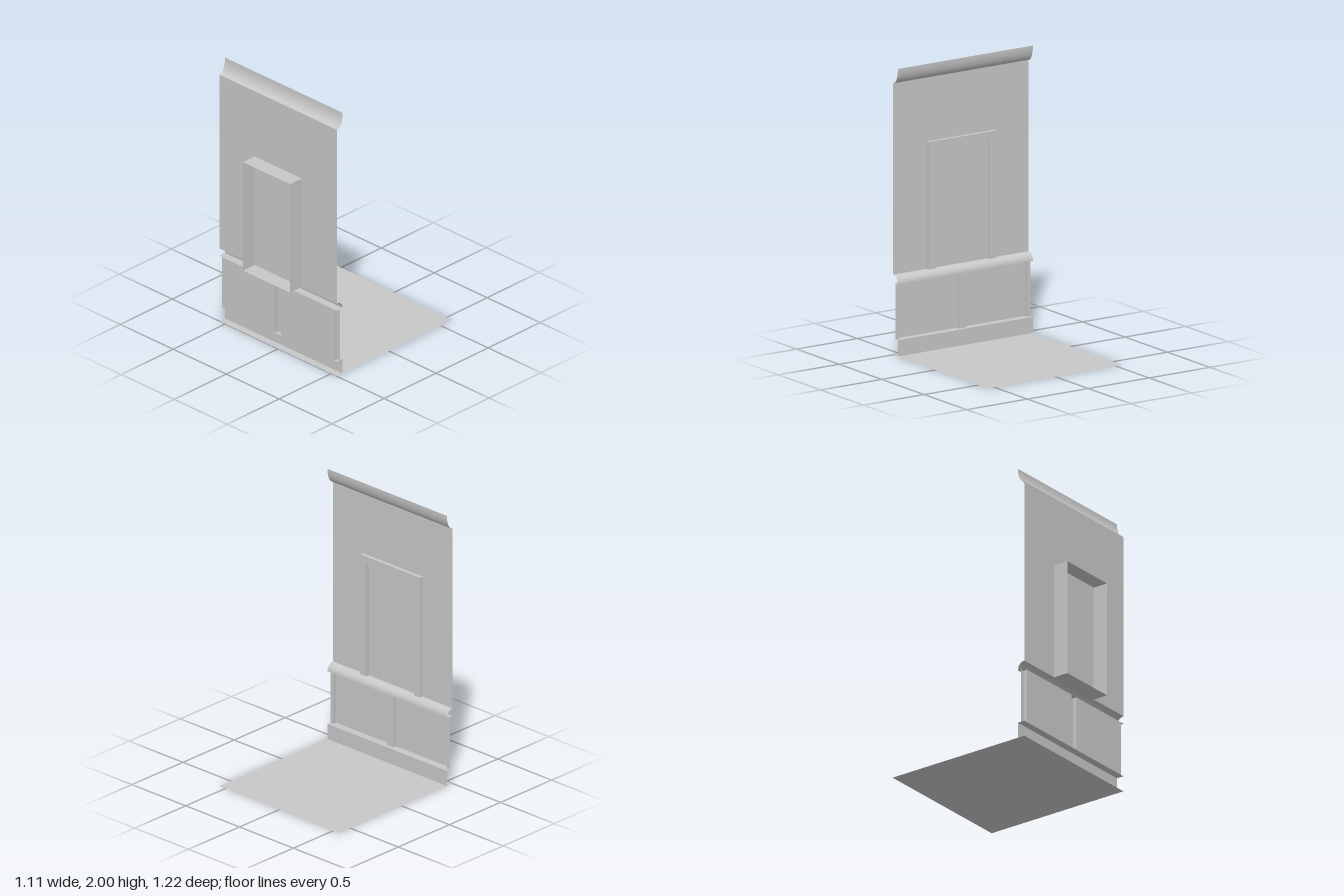
import * as THREE from 'three';

const W = 0.555;               // half width of the wall
const WALL = 0.5;              // wall plane
const TRIM = 0.473;            // face of the thin trims
const DEEP = 0.445;            // face of skirting, rail and cornice

const plaster = new THREE.MeshStandardMaterial({ color: 0xc8c8c8, side: THREE.DoubleSide });
plaster.name = 'plasterGrey';

export function createModel() {
  const model = new THREE.Group();
  model.name = 'wallSection';

  // Sweeps an open 2D line between two ends; place(p, end) gives a 3D point
  function ribbon(name, pts, place, smooth = false) {
    const pos = [], index = [];
    pts.forEach((p, i) => {
      pos.push(...place(p, 0), ...place(p, 1));
      if (i) {
        const a = 2 * i - 2;
        index.push(a, a + 1, a + 2, a + 1, a + 3, a + 2);
      }
    });
    let geo = new THREE.BufferGeometry();
    geo.setAttribute('position', new THREE.Float32BufferAttribute(pos, 3));
    geo.setIndex(index);
    if (!smooth) geo = geo.toNonIndexed();
    geo.computeVertexNormals();
    const mesh = new THREE.Mesh(geo, plaster);
    mesh.name = name;
    model.add(mesh);
  }

  // Profile [z, y] swept along the width
  const alongX = (name, pts, smooth) =>
    ribbon(name, pts, ([z, y], e) => [e ? W : -W, y, z], smooth);
  // Plan [x, z] swept upwards
  const alongY = (name, pts, y0, y1) =>
    ribbon(name, pts, ([x, z], e) => [x, e ? y1 : y0, z]);
  // Outline [x, y] swept in depth
  const alongZ = (name, pts, z0, z1) =>
    ribbon(name, pts, ([x, y], e) => [x, y, e ? z1 : z0]);
  // Quarter ellipse bulging into the room, as [z, y]
  const quarter = (yc, h, n = 12) => Array.from({ length: n + 1 }, (_, i) => {
    const a = (i / n) * Math.PI / 2;
    return [WALL - (WALL - DEEP) * Math.cos(a), yc + h * Math.sin(a)];
  });

  // Floor and skirting board with its top ledge
  alongX('floor', [[-0.612, 0], [WALL, 0]]);
  alongX('skirting', [[DEEP, 0], [DEEP, 0.112], [WALL, 0.112]]);

  // Lower panelling: two panels stepped around three stiles
  alongY('lowerPanelling', [
    [-W, TRIM], [-0.528, TRIM], [-0.528, WALL], [-0.028, WALL], [-0.028, TRIM],
    [0.028, TRIM], [0.028, WALL], [0.528, WALL], [0.528, TRIM], [W, TRIM],
  ], 0.112, 0.502);

  // Dado rail: flat underside and rounded top
  alongX('dadoRailUnderside', [[WALL, 0.502], [DEEP, 0.502]]);
  alongX('dadoRail', quarter(0.502, 0.056), true);

  // Upper wall and cornice
  alongX('upperWall', [[WALL, 0.558], [WALL, 1.89]]);
  alongX('cornice', quarter(2, -0.11), true);

  // Window surround on the room side
  const arch = (x, top) => [[-x, 0.558], [-x, top], [x, top], [x, 0.558]];
  const outer = arch(0.277, 1.445), inner = arch(0.222, 1.39);
  alongZ('surroundOuterEdge', outer, TRIM, WALL);
  alongZ('surroundInnerEdge', inner, TRIM, WALL);
  const outline = [...outer, ...inner.slice().reverse()].map(([x, y]) => new THREE.Vector2(x, y));
  const face = new THREE.Mesh(new THREE.ShapeGeometry(new THREE.Shape(outline)), plaster);
  face.name = 'surroundFace';
  face.position.z = TRIM;
  model.add(face);

  // Open window reveal on the outer side
  alongZ('windowReveal', [...inner, inner[0]], WALL, 0.612);

  return model;
}
